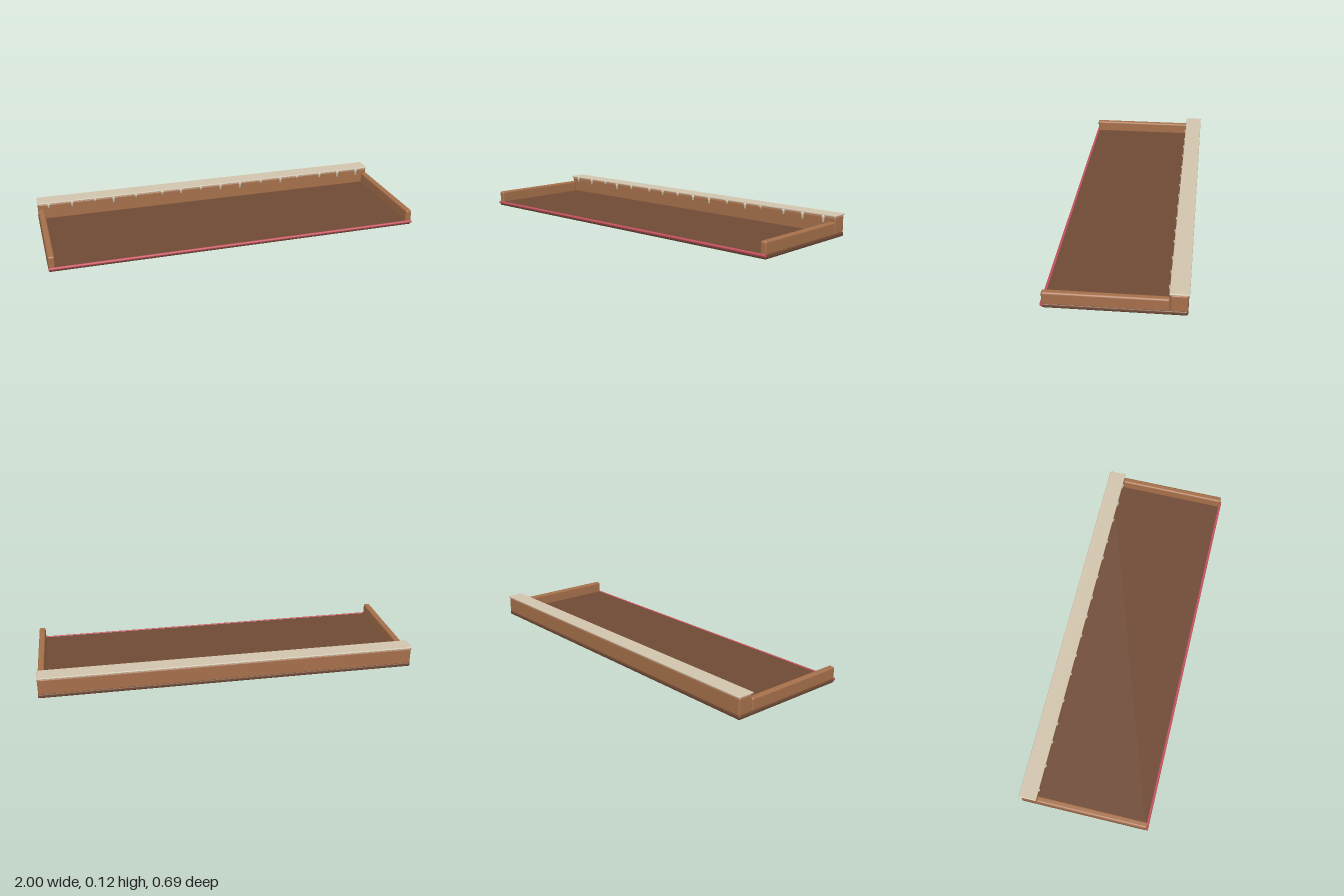
import * as THREE from 'three';
import { RoundedBoxGeometry } from 'three/addons/geometries/RoundedBoxGeometry.js';

const flat = (name, color) => {
  const m = new THREE.MeshStandardMaterial({ color });
  m.name = name;
  return m;
};

export function createModel() {
  const group = new THREE.Group();
  group.name = 'tray';
  const darkWood = flat('dark wood', 0x704a35);
  const lightWood = flat('light wood', 0xa6704b);
  const cream = flat('cream', 0xd2c5ae);
  const red = flat('red', 0xc4525e);

  // Rounded box given by its limits on each axis
  const box = (name, material, [x0, x1], [y0, y1], [z0, z1], r) => {
    const geo = new RoundedBoxGeometry(x1 - x0, y1 - y0, z1 - z0, 3, r);
    const mesh = new THREE.Mesh(geo, material);
    mesh.name = name;
    mesh.position.set((x0 + x1) / 2, (y0 + y1) / 2, (z0 + z1) / 2);
    group.add(mesh);
    return mesh;
  };

  // Floor, back wall and overhanging top
  box('floor', darkWood, [-1, 1], [0, 0.023], [-0.339, 0.339], 0.008);
  box('backWall', lightWood, [-0.998, 0.998], [0.016, 0.109], [-0.339, -0.255], 0.01);
  box('topSlab', cream, [-1, 1], [0.108, 0.118], [-0.344, -0.251], 0.004);

  // Side rails
  for (const side of [-1, 1]) {
    const xs = [side * 0.965, side * 0.999].sort((a, b) => a - b);
    box(side > 0 ? 'leftRail' : 'rightRail', lightWood, xs, [0.016, 0.085], [-0.255, 0.339], 0.01);
  }

  // Round trim along the front edge
  const trim = new THREE.Mesh(new THREE.CylinderGeometry(0.0075, 0.0075, 2, 16), red);
  trim.name = 'frontTrim';
  trim.rotation.z = Math.PI / 2;
  trim.position.set(0, 0.018, 0.339);
  group.add(trim);

  // Tapered drips hanging from the top slab: [x, lower end]
  const drips = [
    [-0.94, 0.083], [-0.81, 0.079], [-0.68, 0.092], [-0.575, 0.073],
    [-0.445, 0.088], [-0.29, 0.088], [-0.18, 0.083], [-0.06, 0.089],
    [0.06, 0.078], [0.18, 0.075], [0.31, 0.089], [0.435, 0.079],
    [0.54, 0.092], [0.687, 0.082], [0.805, 0.074], [0.928, 0.073],
  ];
  for (const [x, low] of drips) {
    const h = 0.113 - low;
    const profile = [[0, 0], [0.003, 0.001], [0.005, 0.005], [0.0075, h * 0.6], [0.01, h], [0, h]]
      .map(([r, y]) => new THREE.Vector2(r, y));
    const drip = new THREE.Mesh(new THREE.LatheGeometry(profile, 12), cream);
    drip.name = 'drip';
    drip.position.set(x, low, -0.254);
    group.add(drip);
  }
  return group;
}
